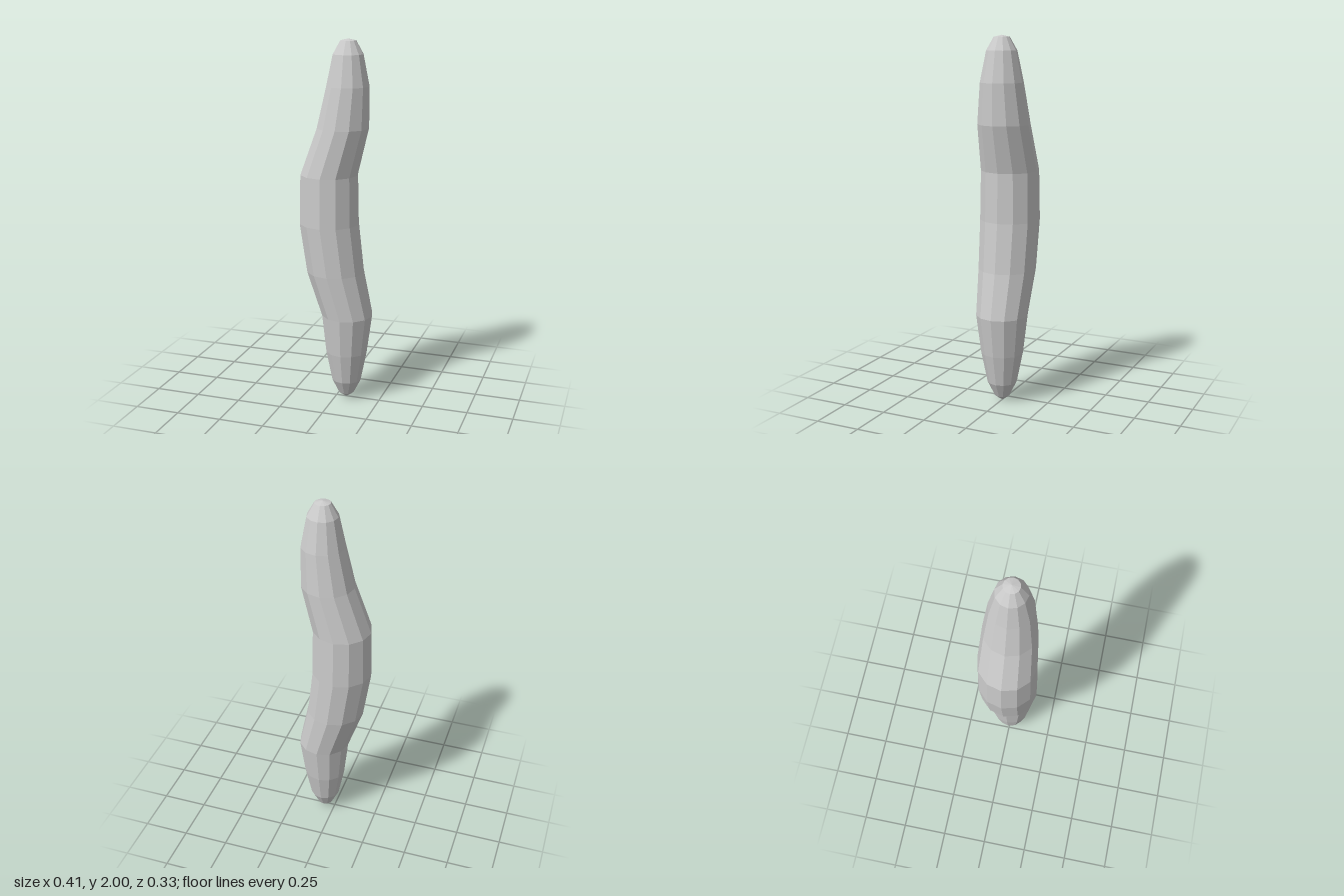
import * as THREE from 'three';

const SIDES = 12;
const RADIUS = 0.164;

// Height and sideways shift of each ring, from the top tip to the bottom tip
const RINGS = [
  [2.0, 0.062], [1.99, 0.062], [1.92, 0.062], [1.755, 0.061], [1.535, 0.035],
  [1.28, -0.042], [1.01, -0.042], [0.74, -0.006], [0.495, 0.062],
  [0.28, 0.059], [0.11, 0.059], [0.03, 0.058], [0.0, 0.058],
];

export function createModel() {
  const group = new THREE.Group();
  group.name = 'wavyPod';

  // Stretched low-poly sphere whose rings are shifted along a wavy spine
  const geometry = new THREE.SphereGeometry(RADIUS, SIDES, RINGS.length - 1);
  const pos = geometry.attributes.position;
  for (let i = 0; i < pos.count; i++) {
    const [y, shift] = RINGS[Math.floor(i / (SIDES + 1))];
    pos.setXYZ(i, pos.getX(i) + shift, y, pos.getZ(i));
  }
  geometry.computeVertexNormals();

  const material = new THREE.MeshStandardMaterial({ color: 0xcccccc, flatShading: true });
  const body = new THREE.Mesh(geometry, material);
  body.name = 'body';
  group.add(body);
  return group;
}
